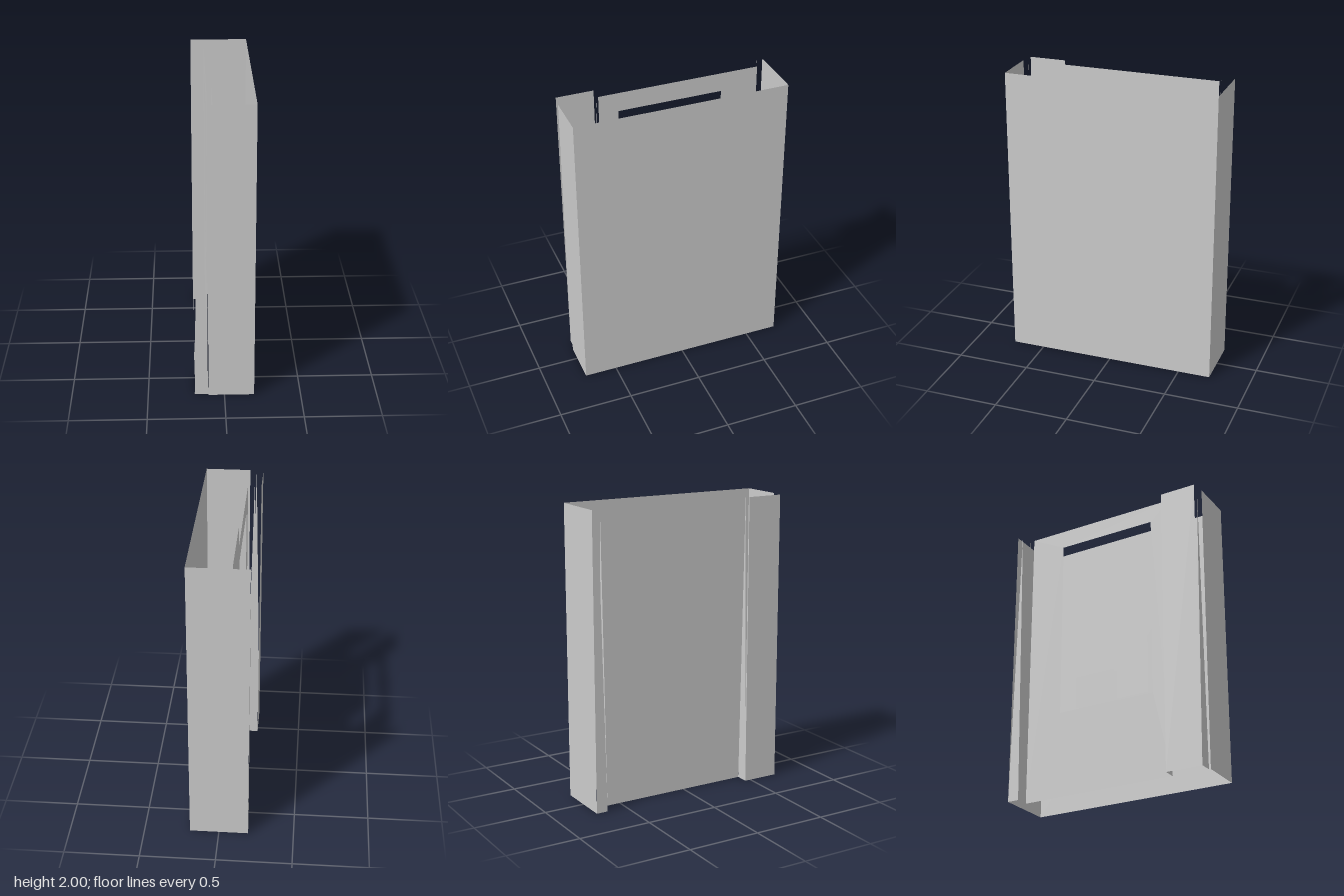
import * as THREE from 'three';

const material = new THREE.MeshStandardMaterial({ color: 0xcccccc, side: THREE.DoubleSide, flatShading: true });

const H = 2;                       // height
const OUT = 0.195, IN = -0.105;    // outer half width, inset panel plane
const D = 0.72;                    // half depth

const shapeOf = (points) => new THREE.Shape(points.map(([a, b]) => new THREE.Vector2(a, b)));
const rect = (a0, a1, b0 = 0, b1 = H) => [[a0, b0], [a1, b0], [a1, b1], [a0, b1]];
const taper = (a0, a1) => [[a0, 0], [a1, 0], [(a0 + a1) / 2, H]];

export function createModel() {
  const group = new THREE.Group();

  const add = (name, geometry) => {
    const mesh = new THREE.Mesh(geometry, material);
    mesh.name = name;
    group.add(mesh);
  };

  // Thin sheet facing sideways: outline in (z, y), placed at x
  const sideSheet = (name, x, outline, hole) => {
    const shape = shapeOf(outline);
    if (hole) shape.holes.push(shapeOf(hole));
    add(name, new THREE.ShapeGeometry(shape).rotateY(-Math.PI / 2).translate(x, 0, 0));
  };

  // Thin sheet facing front or back: outline in (x, y), placed at z
  const crossSheet = (name, z, outline) => {
    add(name, new THREE.ShapeGeometry(shapeOf(outline)).translate(0, 0, z));
  };

  // Outer shell, open at top and bottom
  sideSheet('leftPanel', OUT, rect(-D, D));
  crossSheet('frontWall', D, rect(IN, OUT));
  crossSheet('backWall', -D, rect(-OUT, OUT));

  // Inset right panel with window opening
  sideSheet('windowPanel', IN, rect(-0.64, 0.457), rect(-0.385, 0.325, 0.595, 1.87));

  // Raised front strip and tapered returns
  sideSheet('frontStrip', -OUT, rect(0.457, 0.707));
  crossSheet('frontReturn', 0.707, taper(-OUT, IN));
  crossSheet('innerReturn', 0.457, taper(-OUT, IN));
  crossSheet('backReturn', -0.64, taper(-OUT, IN));
  sideSheet('backStrip', -OUT, taper(-D, -0.64));

  // Plates set into the window
  sideSheet('windowPlate', -0.06, rect(-0.31, 0.263, 0.63, 1.8));
  for (const [name, x] of [['smallPlateOuter', IN], ['smallPlateInner', -0.065]])
    sideSheet(name, x, rect(-0.26, 0.035, 0.603, 0.825));

  return group;
}
